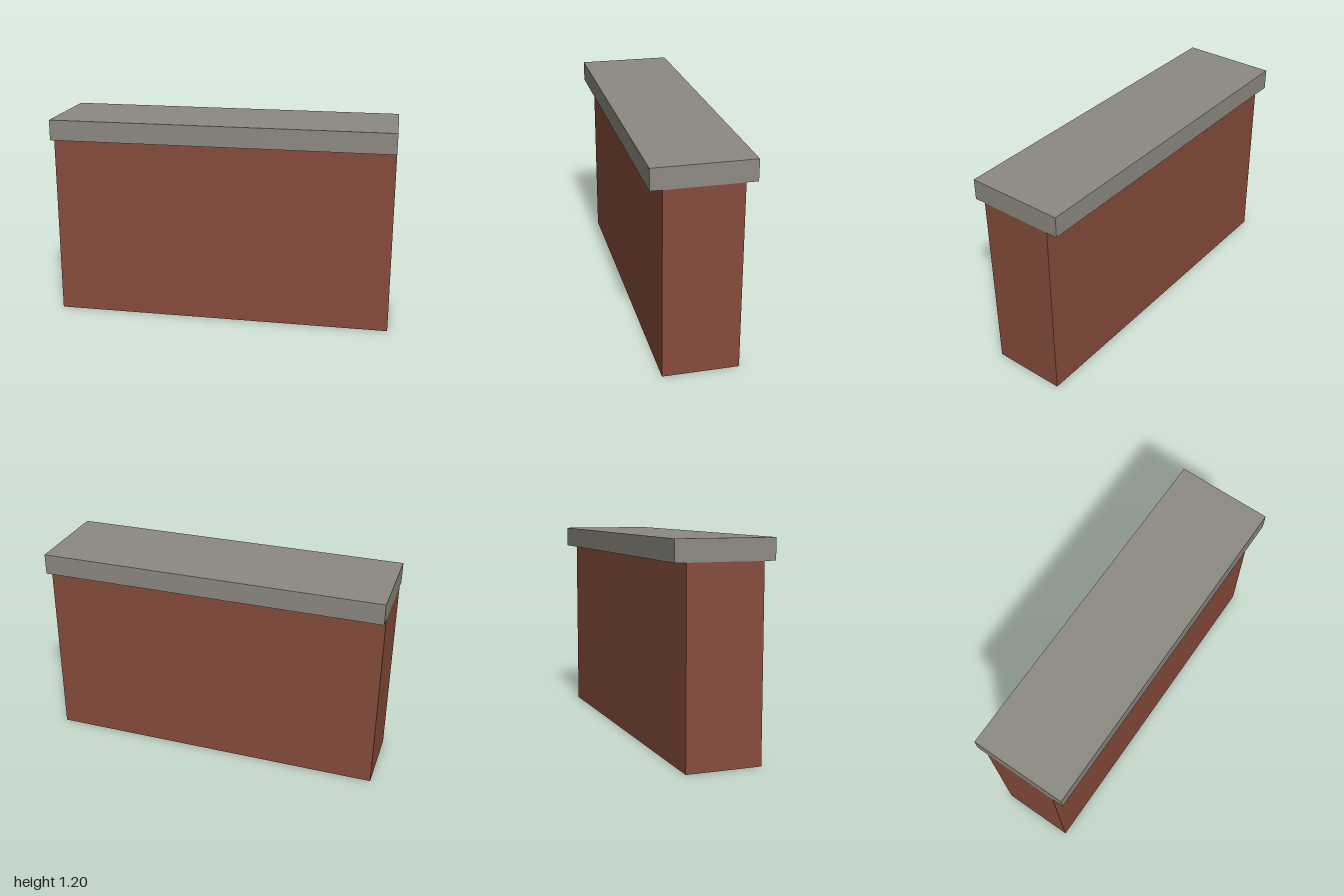
import * as THREE from 'three';

export function createModel() {
  const group = new THREE.Group();
  const brick = new THREE.MeshStandardMaterial({ color: 0x874c3c });
  brick.name = 'brick red';
  const stone = new THREE.MeshStandardMaterial({ color: 0x8d8a81 });
  stone.name = 'stone grey';

  // Box standing on the given base height
  const addBlock = (name, material, height, depth, base) => {
    const mesh = new THREE.Mesh(new THREE.BoxGeometry(2, height, depth), material);
    mesh.name = name;
    mesh.position.y = base + height / 2;
    group.add(mesh);
  };

  // Wall body and the wider coping on top
  addBlock('wall', brick, 1.08, 0.43, 0);
  addBlock('coping', stone, 0.12, 0.56, 1.08);
  return group;
}
